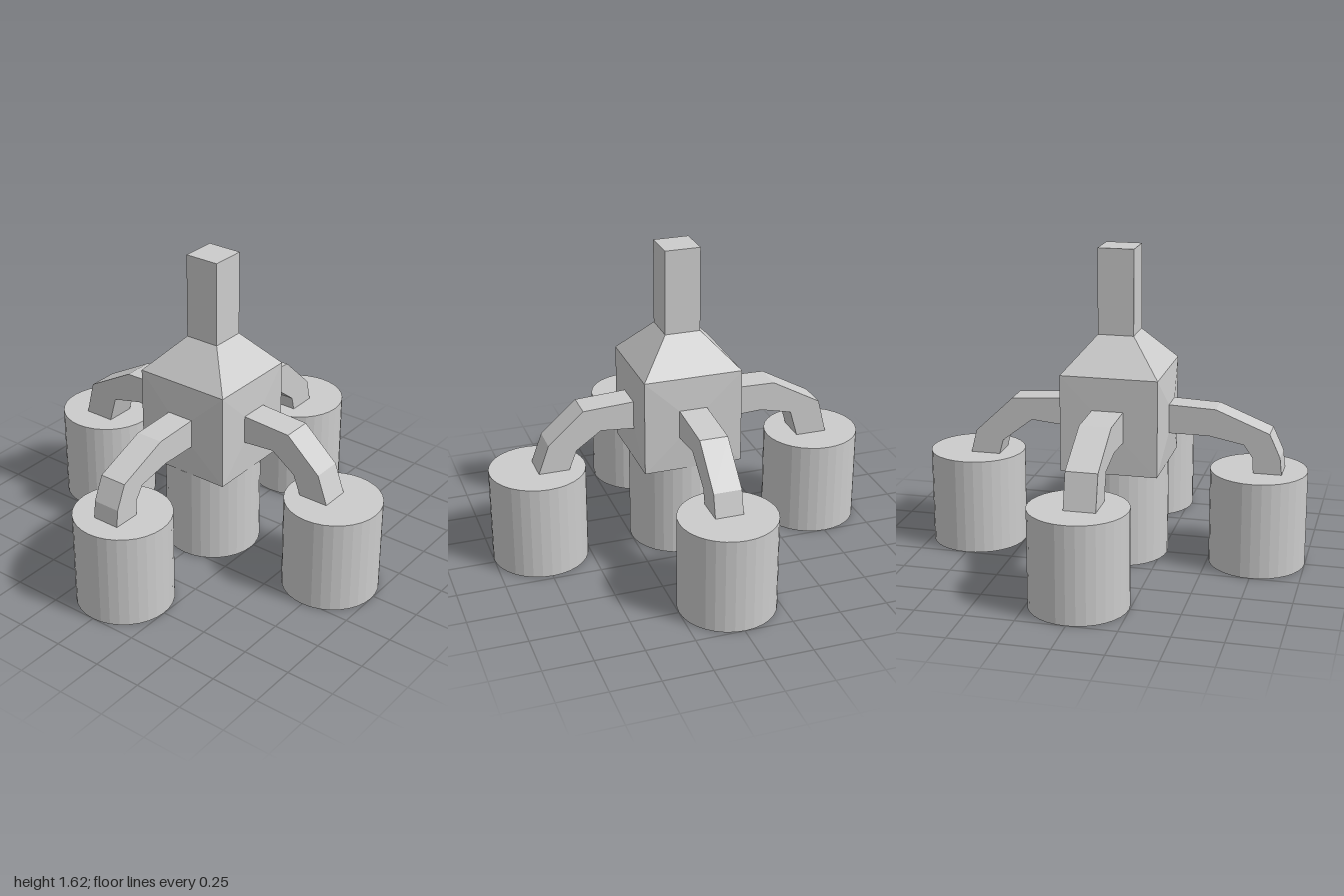
import * as THREE from 'three';

export function createModel() {
  const model = new THREE.Group();
  const material = new THREE.MeshStandardMaterial({ color: 0xcccccc, flatShading: true });

  const add = (name, geometry) => {
    const mesh = new THREE.Mesh(geometry, material);
    mesh.name = name;
    model.add(mesh);
    return mesh;
  };

  // Joins a list of four-corner loops (counter-clockwise from outside) and caps the last one
  const loft = (loops) => {
    const pos = [];
    const quad = (a, b, c, d) => pos.push(...a, ...b, ...c, ...a, ...c, ...d);
    for (let i = 0; i + 1 < loops.length; i++) {
      const lo = loops[i], hi = loops[i + 1];
      for (let k = 0; k < 4; k++) {
        const n = (k + 1) % 4;
        quad(lo[k], lo[n], hi[n], hi[k]);
      }
    }
    quad(...loops[loops.length - 1]);
    const g = new THREE.BufferGeometry();
    g.setAttribute('position', new THREE.Float32BufferAttribute(pos, 3));
    g.computeVertexNormals();
    return g;
  };

  // Rectangles facing +y, z and x
  const flat = (y, x0, x1, z0, z1) => [[x0, y, z1], [x1, y, z1], [x1, y, z0], [x0, y, z0]];
  const facingZ = (z, x0, x1, y0, y1) => [[x0, y0, z], [x1, y0, z], [x1, y1, z], [x0, y1, z]];
  const facingX = (x, z0, z1, y0, y1) => [[x, y0, z1], [x, y0, z0], [x, y1, z0], [x, y1, z1]];
  const flip = (loop) => [...loop].reverse();

  // Body: box with slightly bulging sides, tapering into the neck
  const X0 = -0.265, X1 = 0.25, Z0 = -0.225, Z1 = 0.275, Y0 = 0.5, Y1 = 1;
  add('neckAndShoulders', loft([
    flat(Y1, X0, X1, Z0, Z1),
    flat(1.18, -0.095, 0.09, -0.07, 0.115),
    flat(1.62, -0.095, 0.09, -0.07, 0.115),
  ]));
  add('bodyFront', loft([facingZ(Z1, X0, X1, Y0, Y1), facingZ(0.295, -0.075, 0.07, 0.68, 0.83)]));
  add('bodyBack', loft([flip(facingZ(Z0, X0, X1, Y0, Y1)), flip(facingZ(-0.235, -0.075, 0.07, 0.68, 0.83))]));
  add('bodyLeft', loft([facingX(X1, Z0, Z1, Y0, Y1), facingX(0.256, -0.055, 0.1, 0.68, 0.83)]));
  add('bodyRight', loft([flip(facingX(X0, Z0, Z1, Y0, Y1)), flip(facingX(-0.266, -0.06, 0.1, 0.67, 0.83))]));
  add('bodyBottom', loft([flip(flat(Y0, X0, X1, Z0, Z1))]));

  // Arms: bent profiles (distance out, height), upper edge outwards then lower edge back
  const arm = (name, points, from, to, alongZ) => {
    const shape = new THREE.Shape(points.map(([u, v]) => new THREE.Vector2(u, v)));
    const g = new THREE.ExtrudeGeometry(shape, { depth: to - from, bevelEnabled: false });
    if (alongZ) g.rotateY(-Math.PI / 2).translate(to, 0, 0);
    else g.translate(0, 0, from);
    add(name, g);
  };
  arm('leftArm', [[0.25, 0.83], [0.52, 0.815], [0.705, 0.65], [0.76, 0.5],
    [0.6, 0.5], [0.56, 0.603], [0.43, 0.695], [0.25, 0.68]], -0.055, 0.1, false);
  arm('rightArm', [[-0.26, 0.83], [-0.51, 0.825], [-0.77, 0.68], [-0.815, 0.5],
    [-0.65, 0.5], [-0.61, 0.64], [-0.44, 0.68], [-0.26, 0.67]], -0.06, 0.1, false);
  arm('frontArm', [[0.29, 0.83], [0.535, 0.82], [0.81, 0.71], [0.865, 0.59], [0.875, 0.5],
    [0.73, 0.5], [0.725, 0.58], [0.68, 0.645], [0.5, 0.68], [0.29, 0.68]], -0.075, 0.07, true);
  arm('backArm', [[-0.23, 0.83], [-0.535, 0.81], [-0.735, 0.62], [-0.765, 0.5],
    [-0.61, 0.5], [-0.59, 0.575], [-0.43, 0.7], [-0.23, 0.68]], -0.075, 0.07, true);

  // Feet: five drums of equal size
  const drum = new THREE.CylinderGeometry(0.249, 0.249, 0.5, 32);
  const feet = {
    leftDrum: [0.751, 0.022], rightDrum: [-0.751, -0.002],
    frontDrum: [0, 0.751], backDrum: [0, -0.751], centreDrum: [0, 0.028],
  };
  for (const [name, [x, z]] of Object.entries(feet)) add(name, drum).position.set(x, 0.25, z);

  return model;
}
